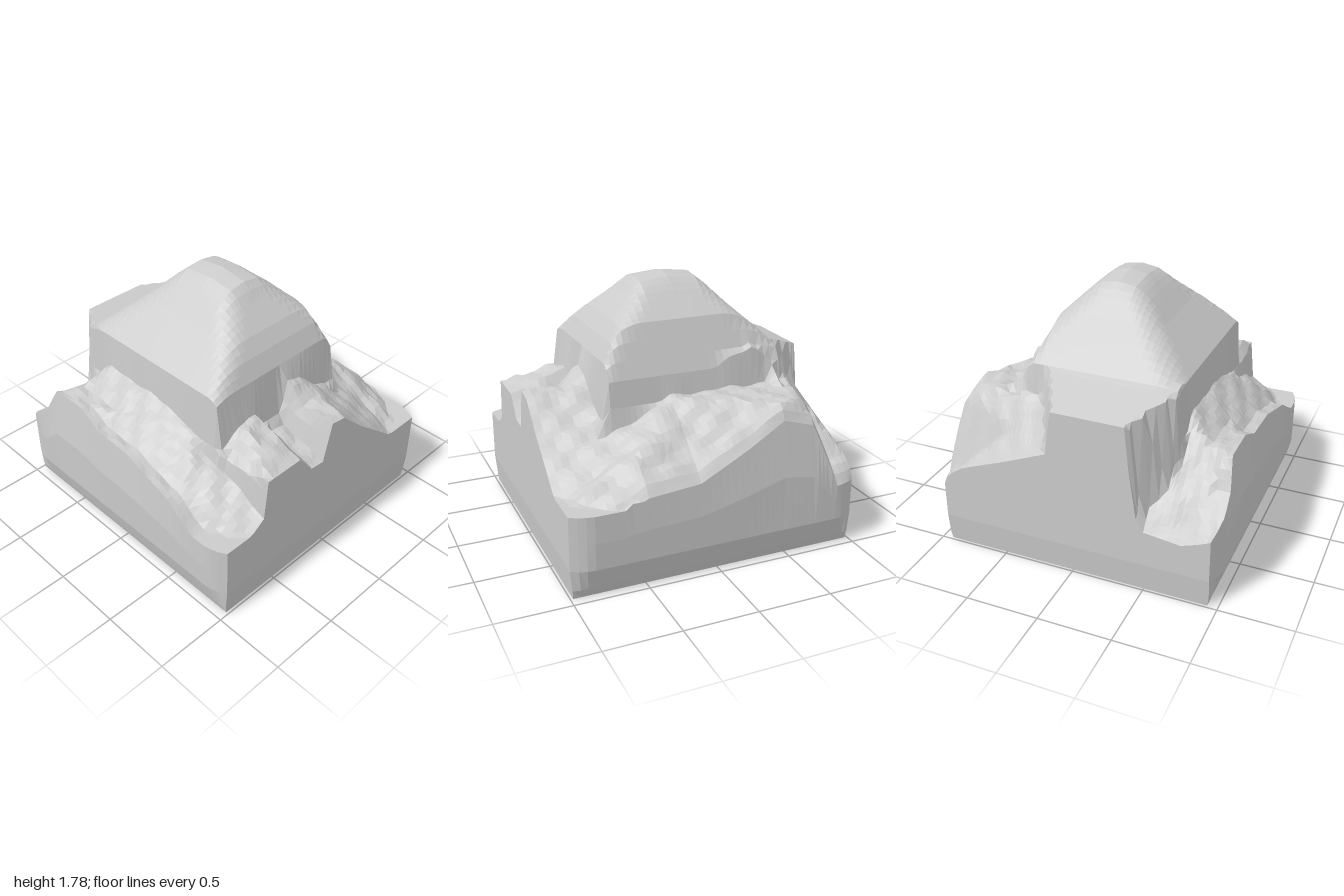
import * as THREE from 'three';

// Piecewise linear curve through [position, value] points
function curve(points, t) {
  if (t <= points[0][0]) return points[0][1];
  for (let i = 1; i < points.length; i++) {
    const [a, va] = points[i - 1], [b, vb] = points[i];
    if (t <= b) return va + ((vb - va) * (t - a)) / (b - a);
  }
  return points[points.length - 1][1];
}

// Summit: the lower of an x profile and a z profile gives a hipped peak
const SUMMIT_X = [[-0.7, 0.4], [-0.66, 1.3], [-0.38, 1.57], [-0.2, 1.77], [0, 1.815],
  [0.2, 1.77], [0.3, 1.65], [0.43, 1.52], [0.5, 1.42], [0.56, 1.3], [0.65, 0.6]];
const SUMMIT_Z = [[-0.55, 0.6], [-0.48, 1.2], [-0.36, 1.53], [-0.12, 1.77], [0, 1.815],
  [0.12, 1.77], [0.35, 1.53], [0.6, 1.3], [0.64, 0.6]];

// Heights of the ledge along each outer edge
const FRONT_RIM = [[-0.95, 0.58], [-0.76, 0.72], [-0.65, 0.93], [-0.4, 0.93], [-0.2, 0.84], [0.12, 0.82], [0.5, 0.71], [1, 0.4]];
const BACK_RIM = [[-0.85, 0.55], [-0.66, 1], [-0.45, 1.06], [-0.2, 0.92], [0.15, 0.75], [0.5, 0.72], [1, 0.47]];
const RIGHT_RIM = [[-0.95, 0.55], [-0.5, 0.72], [-0.12, 0.88], [0.4, 0.62], [0.5, 0.45], [0.75, 0.42], [1, 0.5]];
const LEFT_RIM = [[-1, 0.48], [-0.7, 0.54], [-0.3, 0.86], [-0.12, 1.03], [0, 1.05], [0.07, 0.77],
  [0.18, 0.78], [0.3, 0.93], [0.59, 0.93], [0.62, 0.64], [1, 0.38]];

// Ledge: rises inward from every rim up to the foot of the summit
function ledgeHeight(x, z) {
  const foot = z <= 0 && z > -0.5 ? 0.9 * Math.max(0, 0.75 - Math.abs(x)) : 0;
  return Math.min(
    1.06 + foot,
    0.92 + 0.8 * Math.max(0, 0.8 - z),
    curve(FRONT_RIM, x) + (0.8 + Math.max(0, x) ** 4) * Math.max(0, 0.9 - z),
    curve(BACK_RIM, x) + 0.9 * Math.max(0, z + 0.88) - 1.3 * Math.max(0, -0.92 - z),
    curve(RIGHT_RIM, z) + 1.2 * (x + 1),
    curve(LEFT_RIM, z) + (0.3 + 0.5 * z * z) * (1 - x),
  );
}

// Tall shoulder on the -x side, with a slanted cliff in front
function shoulderHeight(x, z) {
  if (x > -0.6) return 0;
  const inward = x + 1;
  const crest = 1.17 + 0.37 * inward;
  const cliff = Math.min(0.6, 0.38 + 0.72 * inward);
  return Math.min(crest, crest + (8 - 18 * inward) * (z + 0.12 + 0.5 * inward), 1.17 + 14 * (cliff - z));
}

// Peak with softened hips
function summitHeight(x, z) {
  const a = curve(SUMMIT_X, x), b = curve(SUMMIT_Z, z), soft = 0.14;
  return Math.min(a, b) - Math.max(0, soft - Math.abs(a - b)) ** 2 / (4 * soft);
}

function height(x, z) {
  const inside = 1 - Math.max(Math.abs(x), Math.abs(z)) ** 12;
  const rough = 0.015 * Math.sin(x * 23 + z * 9) * Math.sin(z * 27 - x * 7) * inside;
  return Math.max(ledgeHeight(x, z) + rough, shoulderHeight(x, z), summitHeight(x, z));
}

// Bulge of the front and back faces by height, with trimmed corners
const BULGE = [[0, 0.93], [0.06, 0.95], [0.2, 0.99], [0.5, 1], [0.75, 0.975], [0.95, 0.945]];
function place(x, y, z) {
  const corner = 1 - 0.06 * Math.max(0, (Math.abs(x) - 0.8) / 0.2) ** 2;
  const s = Math.min(curve(BULGE, y), corner);
  const sx = curve([[0, 0.982], [0.2, 1]], y);
  return new THREE.Vector3(x * sx, y, z * (1 - (1 - s) * Math.abs(z) ** 8));
}

// Grid lines at every bend of the curves, with wide gaps subdivided
function gridLines(...curves) {
  const knots = [-1, 1, ...curves.flat().map((p) => p[0])];
  const sorted = [...new Set(knots)].sort((a, b) => a - b);
  const lines = [-1];
  for (let i = 1; i < sorted.length; i++) {
    const a = sorted[i - 1], b = sorted[i], n = Math.ceil((b - a) / 0.05);
    for (let k = 1; k <= n; k++) lines.push(a + ((b - a) * k) / n);
  }
  return lines;
}

function facetedMesh(name, triangles, material) {
  const geometry = new THREE.BufferGeometry().setFromPoints(triangles);
  geometry.computeVertexNormals();
  const mesh = new THREE.Mesh(geometry, material);
  mesh.name = name;
  return mesh;
}

export function createModel() {
  const group = new THREE.Group();
  group.name = 'rockyHill';
  const stone = new THREE.MeshStandardMaterial({ color: 0xcccccc, flatShading: true });

  const xs = gridLines(SUMMIT_X, FRONT_RIM, BACK_RIM);
  const zs = gridLines(SUMMIT_Z, RIGHT_RIM, LEFT_RIM);
  const top = xs.map((x) => zs.map((z) => place(x, height(x, z), z)));

  // Upper surface, each cell split along its flatter diagonal
  const surface = [];
  for (let i = 0; i < xs.length - 1; i++) {
    for (let j = 0; j < zs.length - 1; j++) {
      const a = top[i][j], b = top[i][j + 1], c = top[i + 1][j + 1], d = top[i + 1][j];
      if (Math.abs(a.y - c.y) < Math.abs(b.y - d.y)) surface.push(a, b, c, a, c, d);
      else surface.push(a, b, d, b, c, d);
    }
  }
  group.add(facetedMesh('hillSurface', surface, stone));

  // Perimeter, counterclockwise seen from above
  const edge = [
    ...xs.map((x) => [x, 1]).slice(0, -1),
    ...zs.map((z) => [1, z]).reverse().slice(0, -1),
    ...xs.map((x) => [x, -1]).reverse().slice(0, -1),
    ...zs.map((z) => [-1, z]).slice(0, -1),
  ];
  const levels = [(h) => h, (h) => 0.2 + (h - 0.2) * 0.5, () => 0.2, () => 0.06, () => 0];
  const rings = levels.map((level) => edge.map(([x, z]) => place(x, level(height(x, z)), z)));

  // Cut side walls
  const walls = [];
  for (let r = 0; r < rings.length - 1; r++) {
    for (let i = 0; i < edge.length; i++) {
      const k = (i + 1) % edge.length;
      const a = rings[r][i], b = rings[r + 1][i], c = rings[r + 1][k], d = rings[r][k];
      walls.push(a, b, c, a, c, d);
    }
  }
  group.add(facetedMesh('sideWalls', walls, stone));

  // Underside
  const foot = rings[rings.length - 1];
  const centre = new THREE.Vector3();
  const floor = foot.flatMap((p, i) => [centre, foot[(i + 1) % foot.length], p]);
  group.add(facetedMesh('underside', floor, stone));

  return group;
}
